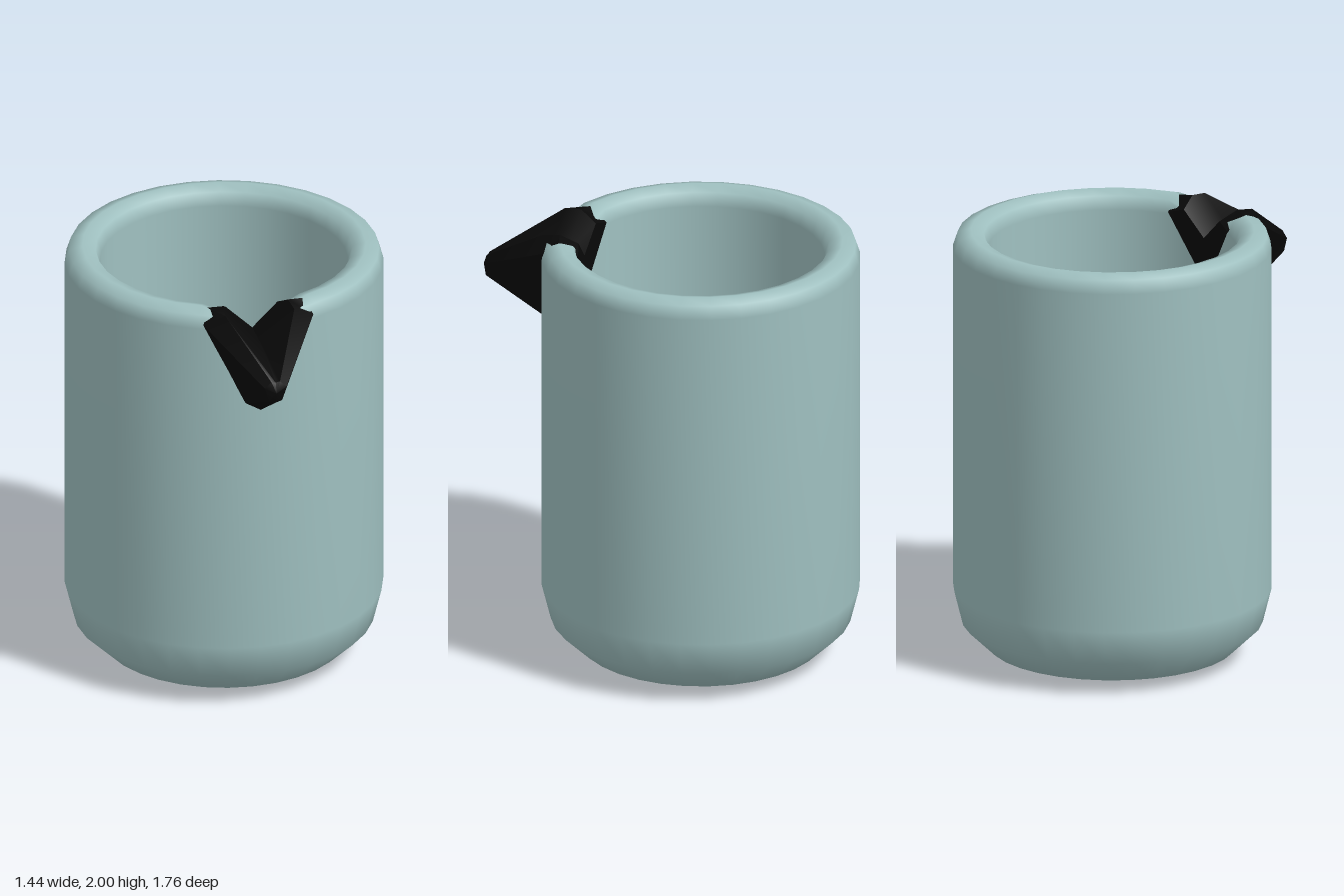
import * as THREE from 'three';
import { toCreasedNormals } from 'three/addons/utils/BufferGeometryUtils.js';

const AXIS_Z = -0.16; // cup axis; the spout reaches forward from it

// Cup: one lathed shell, outside, rounded rim, inside and floor
function makeCup() {
  const profile = [
    [0, 0], [0.40, 0], [0.56, 0.045], [0.68, 0.16], [0.72, 0.32],
    [0.72, 1.92], [0.70, 1.98], [0.64, 2.0], [0.58, 1.98], [0.56, 1.92],
    [0.56, 0.38], [0.53, 0.26], [0.44, 0.18], [0.30, 0.16], [0, 0.16],
  ].map(([r, y]) => new THREE.Vector2(r, y));
  const geometry = new THREE.LatheGeometry(profile, 32);
  // Lower the rim into a V-shaped notch under the spout
  const p = geometry.attributes.position;
  for (let i = 0; i < p.count; i++) {
    const x = Math.abs(p.getX(i));
    if (p.getZ(i) > 0 && x < 0.2) p.setY(i, Math.min(p.getY(i), 1.825 + 1.03 * x));
  }
  const cup = new THREE.Mesh(geometry, new THREE.MeshStandardMaterial({ color: 0x9fc0c0 }));
  cup.name = 'cup';
  cup.position.z = AXIS_Z;
  return cup;
}

// Depth of the cup wall of radius r at a given x
const wallZ = (r, x) => AXIS_Z + Math.sqrt(r * r - x * x);

// V-shaped section: inner lip, outer lip, lower side, keel, then mirrored, then valley
function section(lipIn, lipOut, low, keel, valley, zAt) {
  const half = [lipIn, lipOut, low];
  return [
    ...half, [0, keel],
    ...half.map(([x, y]) => [-x, y]).reverse(), [0, valley],
  ].map(([x, y]) => [x, y, zAt(x)]);
}

// Spout: V-sections from the inner wall, through the rim, to a blunt tip
function makeSpout() {
  const rings = [
    section([0.12, 1.955], [0.20, 1.93], [0.04, 1.69], 1.63, 1.845, (x) => wallZ(0.555, x)),
    section([0.15, 2.0], [0.22, 1.99], [0.055, 1.62], 1.57, 1.845, (x) => wallZ(0.64, x)),
    section([0.16, 1.99], [0.255, 1.94], [0.07, 1.55], 1.51, 1.845, (x) => wallZ(0.722, x)),
    section([0.02, 1.79], [0.05, 1.76], [0.03, 1.695], 1.685, 1.785, () => 0.855),
  ];
  const n = rings[0].length;
  const positions = rings.flat(2);
  const index = [];
  for (let s = 0; s < rings.length - 1; s++) {
    for (let i = 0; i < n; i++) {
      const a = s * n + i, b = s * n + ((i + 1) % n);
      index.push(a, b, b + n, a, b + n, a + n);
    }
  }
  // Back end: strips between the valley side and the keel side
  for (const [a, b, c] of [[0, 1, 2], [0, 2, 7], [7, 2, 3], [7, 3, 4], [7, 4, 6], [6, 4, 5]]) index.push(a, c, b);
  // Blunt nose
  const tip = positions.length / 3, last = (rings.length - 1) * n;
  positions.push(0, 1.74, 0.875);
  for (let i = 0; i < n; i++) index.push(last + i, last + ((i + 1) % n), tip);

  const geometry = new THREE.BufferGeometry();
  geometry.setAttribute('position', new THREE.Float32BufferAttribute(positions, 3));
  geometry.setIndex(index);
  const spout = new THREE.Mesh(
    toCreasedNormals(geometry, 0.7),
    new THREE.MeshStandardMaterial({ color: 0x080808, side: THREE.DoubleSide }),
  );
  spout.name = 'spout';
  return spout;
}

export function createModel() {
  const model = new THREE.Group();
  model.name = 'pouringCup';
  model.add(makeCup(), makeSpout());
  return model;
}
